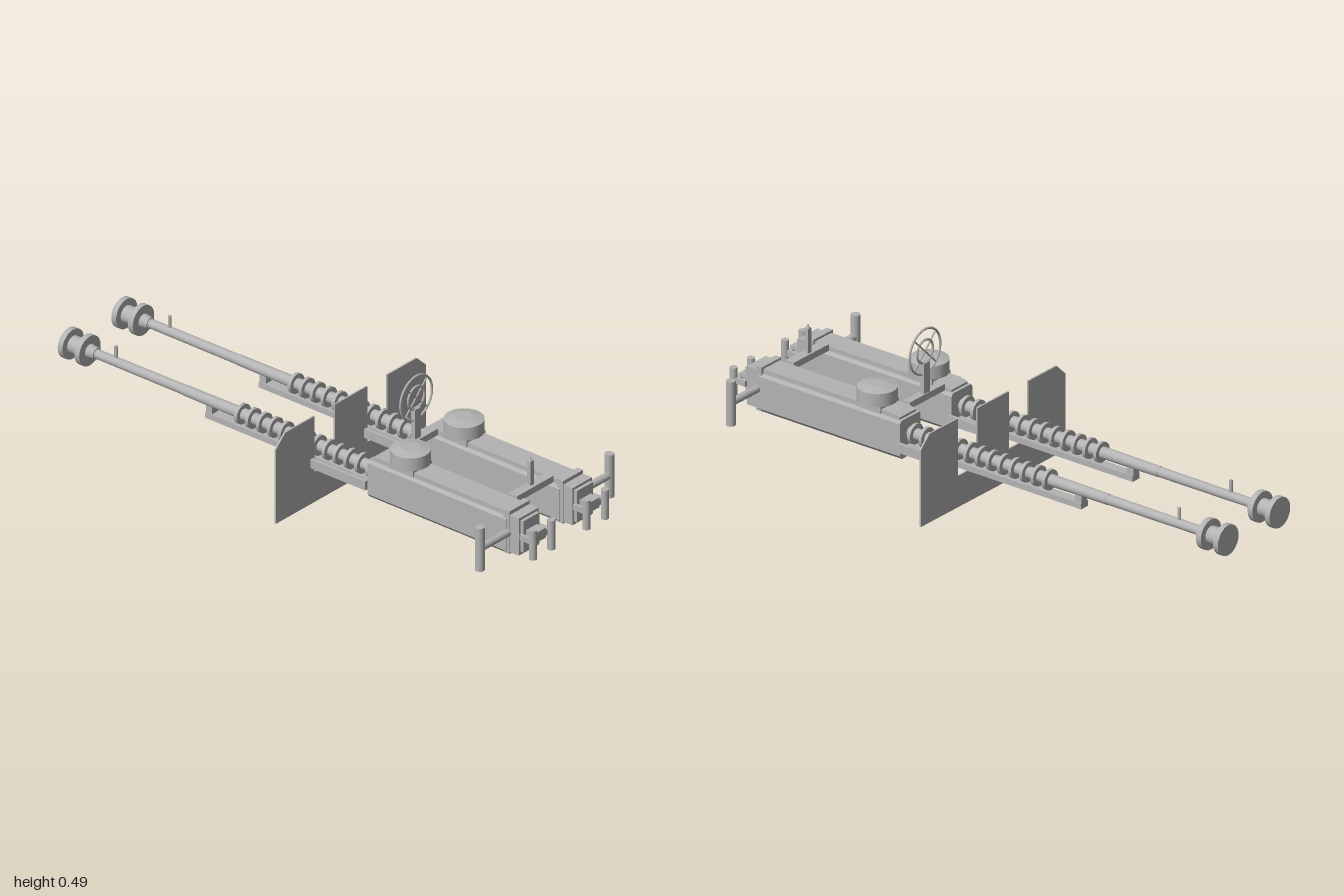
import * as THREE from 'three';

export function createModel() {
  const root = new THREE.Group();
  root.name = 'twinGunMount';
  const gray = new THREE.MeshStandardMaterial({ color: 0xb3b3b3 });
  gray.name = 'plain gray';

  const add = (parent, name, geo, x = 0, y = 0, z = 0) => {
    const m = new THREE.Mesh(geo, gray);
    m.name = name;
    m.position.set(x, y, z);
    parent.add(m);
    return m;
  };
  // Box given by its limits
  const box = (parent, name, x0, x1, y0, y1, z0, z1) =>
    add(parent, name, new THREE.BoxGeometry(x1 - x0, y1 - y0, z1 - z0),
      (x0 + x1) / 2, (y0 + y1) / 2, (z0 + z1) / 2);
  // Round bar along x, with a radius at each end
  const barX = (parent, name, x0, x1, r0, r1, y, z = 0) =>
    add(parent, name, new THREE.CylinderGeometry(r1, r0, x1 - x0, 24).rotateZ(-Math.PI / 2),
      (x0 + x1) / 2, y, z);
  const barY = (parent, name, y0, y1, r, x, z = 0) =>
    add(parent, name, new THREE.CylinderGeometry(r, r, y1 - y0, 20), x, (y0 + y1) / 2, z);
  const barZ = (parent, name, z0, z1, r, x, y) =>
    add(parent, name, new THREE.CylinderGeometry(r, r, Math.abs(z1 - z0), 20).rotateX(Math.PI / 2),
      x, y, (z0 + z1) / 2);
  // Cross-section in (z, y), mirrored in z, extruded along x
  const prism = (parent, name, pts, x0, x1) => {
    const all = [...pts, ...pts.map(([z, y]) => [-z, y]).reverse()];
    const shape = new THREE.Shape(all.map(([z, y]) => new THREE.Vector2(z, y)));
    const geo = new THREE.ExtrudeGeometry(shape, { depth: x1 - x0, bevelEnabled: false });
    return add(parent, name, geo.rotateY(Math.PI / 2), x0);
  };

  // Shield with two slots open at the top
  prism(root, 'shield', [
    [0.37, 0], [0.37, 0.27], [0.325, 0.313], [0.18, 0.313], [0.18, 0.11],
    [0.08, 0.11], [0.08, 0.313],
  ], 0.067, 0.073);

  const axisY = 0.18;
  for (const side of [1, -1]) {
    const gun = new THREE.Group();
    gun.name = side > 0 ? 'leftGun' : 'rightGun';
    gun.position.z = side * 0.132;
    root.add(gun);

    // Receiver and lid
    prism(gun, 'receiver', [[0.043, 0.1], [0.053, 0.112], [0.053, 0.225], [0.046, 0.235]], 0.3, 0.88);
    const lid = new THREE.Shape([[0.31, 0.23], [0.87, 0.23], [0.87, 0.25], [0.34, 0.25], [0.31, 0.243]]
      .map(([x, y]) => new THREE.Vector2(x, y)));
    add(gun, 'lid', new THREE.ExtrudeGeometry(lid, { depth: 0.084, bevelEnabled: false }), 0, 0, -0.042);

    // Back cap with two upright grips
    box(gun, 'backPlate', 0.868, 0.892, 0.103, 0.258, -0.05, 0.05);
    box(gun, 'backBlock', 0.892, 0.93, 0.11, 0.245, -0.048, 0.048);
    box(gun, 'backStep', 0.93, 0.942, 0.122, 0.236, -0.04, 0.04);
    box(gun, 'gripBridge', 0.94, 0.98, 0.163, 0.199, -0.028, 0.028);
    for (const s of [1, -1]) {
      barY(gun, 'upperGrip', 0.118, 0.224, 0.013, 0.987, s * 0.045);
      box(gun, 'gripArm', 0.935, 0.985, 0.17, 0.19, s * 0.045 - 0.006, s * 0.045 + 0.006);
    }
    box(gun, 'gripCrossbar', 0.965, 0.98, 0.17, 0.19, -0.045, 0.045);

    // Ammunition drum on its seat
    box(gun, 'drumSeat', 0.385, 0.485, 0.235, 0.259, -0.047, 0.047);
    add(gun, 'drum', new THREE.CylinderGeometry(0.066, 0.066, 0.046, 40), 0.435, 0.281, 0);
    add(gun, 'drumTop', new THREE.CylinderGeometry(0.03, 0.066, 0.008, 40), 0.435, 0.308, 0);

    // Barrel with cooling rings
    barX(gun, 'barrelRear', -0.27, 0.3, 0.02, 0.02, axisY);
    barX(gun, 'barrelMiddle', -0.51, -0.27, 0.018, 0.02, axisY);
    barX(gun, 'barrelFront', -0.88, -0.51, 0.016, 0.017, axisY);
    for (let i = 0; i < 13; i++) {
      const x = -0.27 + i * 0.0458;
      barX(gun, 'coolingRing', x - 0.006, x + 0.006, 0.035, 0.035, axisY);
    }

    // Muzzle brake
    barX(gun, 'muzzleCollar', -0.91, -0.88, 0.024, 0.02, axisY);
    barX(gun, 'muzzleRearDisc', -0.93, -0.91, 0.053, 0.053, axisY);
    barX(gun, 'muzzleNeck', -0.98, -0.93, 0.03, 0.03, axisY);
    barX(gun, 'muzzleFrontDisc', -1, -0.98, 0.053, 0.053, axisY);
    barY(gun, 'frontSight', 0.19, 0.237, 0.006, -0.8);

    // Rail under the barrel and bars beside it
    box(gun, 'underRail', -0.412, 0.3, 0.122, 0.142, -0.018, 0.018);
    box(gun, 'railBracket', -0.412, -0.385, 0.13, 0.175, -0.014, 0.014);
    for (const s of [1, -1]) {
      box(gun, 'sideBar', 0.07, 0.302, 0.132, 0.164, s * 0.062 - 0.006, s * 0.062 + 0.006);
    }

    // Outer side handle
    barZ(gun, 'handleArm', side * 0.04, side * 0.185, 0.013, 0.885, axisY);
    barY(gun, 'handleGrip', 0.102, 0.258, 0.016, 0.885, side * 0.187);
  }

  // Bars joining both receivers
  box(root, 'frontCrossbar', 0.335, 0.362, 0.235, 0.258, -0.09, 0.09);
  box(root, 'rearCrossbar', 0.81, 0.845, 0.235, 0.258, -0.09, 0.09);

  // Rear sight post
  box(root, 'rearSightPost', 0.817, 0.833, 0.255, 0.345, -0.008, 0.008);
  add(root, 'rearSightTip', new THREE.ConeGeometry(0.008, 0.016, 12), 0.825, 0.352, 0);

  // Ring sight
  box(root, 'ringSightMount', 0.338, 0.354, 0.25, 0.365, -0.015, 0.015);
  const ring = new THREE.Group();
  ring.name = 'ringSight';
  ring.position.set(0.346, 0.403, 0);
  ring.rotation.y = Math.PI / 2;
  root.add(ring);
  for (const r of [0.078, 0.04]) {
    add(ring, 'sightRing', new THREE.TorusGeometry(r, 0.004, 10, 48));
  }
  for (const a of [1, -1]) {
    add(ring, 'sightSpoke', new THREE.CylinderGeometry(0.003, 0.003, 0.155, 8))
      .rotation.z = a * Math.PI / 4;
  }
  return root;
}
